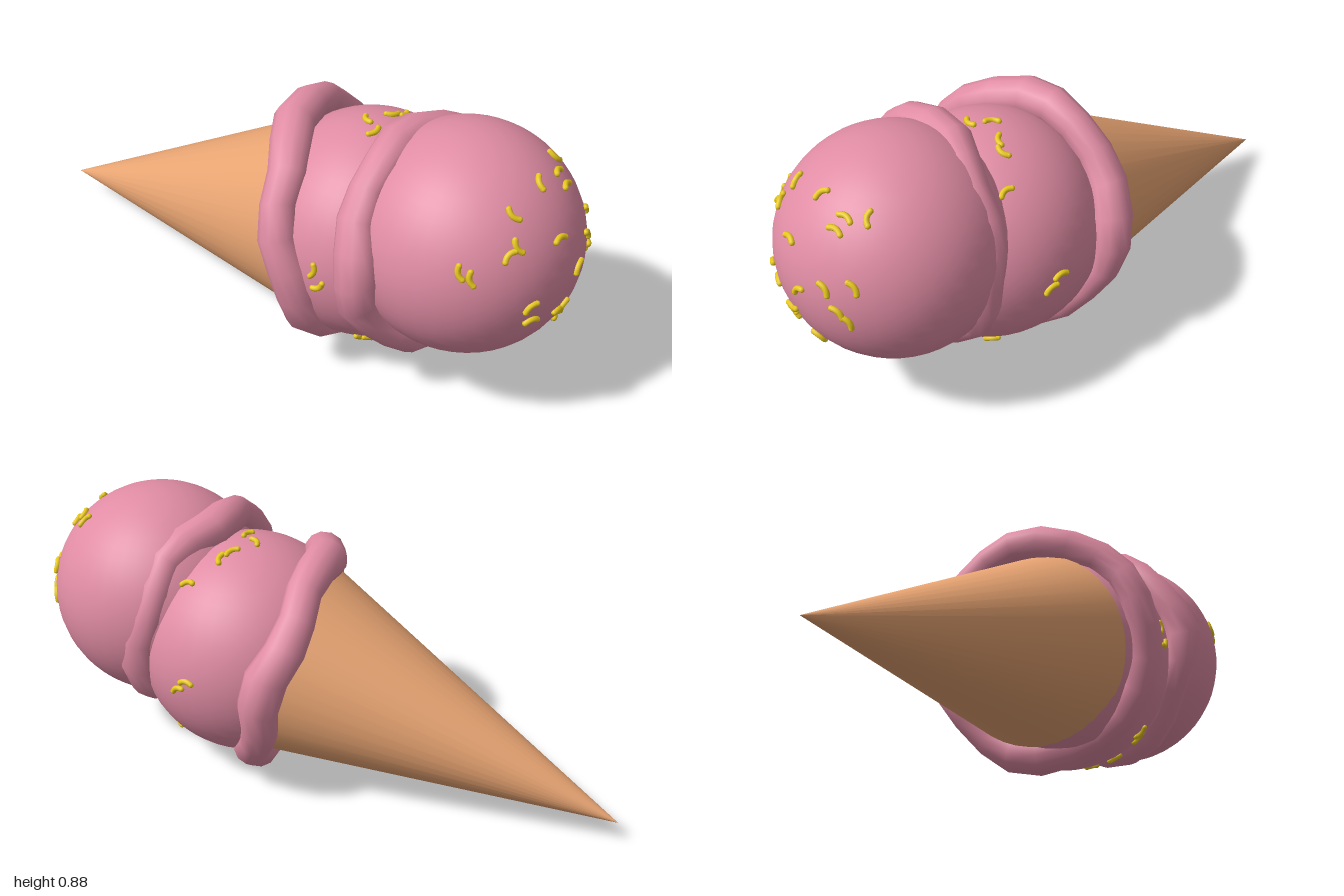
import * as THREE from 'three';
import { mergeGeometries, mergeVertices } from 'three/addons/utils/BufferGeometryUtils.js';

const pink = new THREE.MeshStandardMaterial({ color: 0xe08ca4 });
const waffle = new THREE.MeshStandardMaterial({ color: 0xe8a472 });
const yellow = new THREE.MeshStandardMaterial({ color: 0xe8c81e });
const V = (x, y, z) => new THREE.Vector3(x, y, z);

function addMesh(parent, name, geometry, material) {
  const mesh = new THREE.Mesh(geometry, material);
  mesh.name = name;
  parent.add(mesh);
  return mesh;
}

// Melted rim: a torus whose ring wavers along its axis and in thickness
function rimGeometry(major, tube, phase) {
  let g = new THREE.TorusGeometry(major, tube, 12, 22);
  g.deleteAttribute('uv');
  g.deleteAttribute('normal');
  g = mergeVertices(g, 1e-4);
  const p = g.attributes.position;
  for (let i = 0; i < p.count; i++) {
    const x = p.getX(i), y = p.getY(i), a = Math.atan2(y, x);
    const r = Math.hypot(x, y) - major;
    const fat = 1 + 0.1 * Math.sin(4 * a + phase);
    const ring = major + 0.008 * Math.sin(5 * a + phase * 2) + r * fat;
    const lift = 0.013 * Math.sin(6 * a + phase) + 0.008 * Math.cos(3 * a - phase);
    p.setXYZ(i, Math.cos(a) * ring, Math.sin(a) * ring, p.getZ(i) * fat * 1.05 + lift);
  }
  g.computeVertexNormals();
  return g;
}

// One short bent rod with rounded ends, lying in the XY plane
function sprinkleGeometry() {
  const r = 0.009, h = 0.021;
  const curve = new THREE.QuadraticBezierCurve3(V(-h, -0.004, 0), V(0, 0.012, 0), V(h, -0.004, 0));
  const parts = [new THREE.TubeGeometry(curve, 6, r, 8)];
  for (const s of [-1, 1]) parts.push(new THREE.SphereGeometry(r, 8, 6).translate(s * h, -0.004, 0));
  return mergeGeometries(parts);
}

// Lays a sprinkle on a scoop, turned by an angle from a reference direction
function addSprinkle(parent, geometry, scoop, point, reference, degrees) {
  const n = point.clone().sub(scoop.centre).normalize();
  const u = reference.clone().addScaledVector(n, -n.dot(reference)).normalize();
  const v = n.clone().cross(u);
  const mesh = addMesh(parent, 'sprinkle', geometry, yellow);
  mesh.quaternion.setFromRotationMatrix(new THREE.Matrix4().makeBasis(u, v, n));
  mesh.rotateZ(THREE.MathUtils.degToRad(degrees));
  mesh.position.copy(scoop.centre).addScaledVector(n, scoop.radius + 0.003);
}

export function createModel() {
  const group = new THREE.Group();

  // Cone, from its tip towards the scoops
  const tip = V(-0.015, 0.095, -1), axis = V(0.018, 0.258, 0.966).normalize();
  const length = 1.17;
  const cone = addMesh(group, 'cone', new THREE.ConeGeometry(length * 0.278, length, 40), waffle);
  cone.quaternion.setFromUnitVectors(V(0, -1, 0), axis);
  cone.position.copy(tip).addScaledVector(axis, length / 2);

  // Scoops
  const front = { name: 'topScoop', centre: V(0.01, 0.54, 0.635), radius: 0.357 };
  const back = { name: 'lowerScoop', centre: V(0.02, 0.425, 0.29), radius: 0.366 };
  for (const s of [front, back]) {
    addMesh(group, s.name, new THREE.SphereGeometry(s.radius, 40, 28), pink).position.copy(s.centre);
  }

  // Melted rims behind each scoop
  const rims = [
    ['lowerRim', V(0, 0.417, 0.145), V(0.26, 0.3, 1), 0.35, 0.06, 0.6],
    ['topRim', V(-0.015, 0.5, 0.5), V(-0.1, 0.21, 1), 0.318, 0.06, 2.1],
  ];
  for (const [name, centre, normal, major, tube, phase] of rims) {
    const rim = addMesh(group, name, rimGeometry(major, tube, phase), pink);
    rim.quaternion.setFromUnitVectors(V(0, 0, 1), normal.normalize());
    rim.position.copy(centre);
  }

  // Sprinkles on the top scoop: x, y, angle
  const sprinkles = new THREE.Group();
  sprinkles.name = 'sprinkles';
  group.add(sprinkles);
  const rod = sprinkleGeometry();
  const topSpots = [
    [-0.13, 0.785, 100], [0.005, 0.82, 60], [0.115, 0.8, 0], [0.165, 0.805, 120], [0.11, 0.77, 0],
    [-0.19, 0.697, 20], [-0.163, 0.715, 95], [-0.03, 0.693, -5], [-0.278, 0.64, 80], [-0.29, 0.655, 75],
    [0.135, 0.615, -45], [0.21, 0.64, -40], [0.175, 0.55, -40], [0.2, 0.52, -60], [0.04, 0.567, 40],
    [-0.155, 0.525, 35], [-0.14, 0.467, 5], [-0.03, 0.447, -15], [-0.01, 0.45, 60], [-0.022, 0.437, -25],
    [0.035, 0.355, -50],
  ];
  for (const [x, y, angle] of topSpots) {
    const dx = x - front.centre.x, dy = y - front.centre.y;
    const dz = Math.sqrt(Math.max(0, front.radius ** 2 - dx * dx - dy * dy));
    addSprinkle(sprinkles, rod, front, V(x, y, front.centre.z + dz), V(1, 0, 0), angle);
  }

  // Sprinkles on the lower scoop: x, y, z, angle
  const lowerSpots = [
    [0.02, 0.79, 0.26, -35], [-0.02, 0.79, 0.315, 80], [0.1, 0.78, 0.3, 60], [0.14, 0.77, 0.32, 100],
    [-0.24, 0.67, 0.39, 45], [-0.225, 0.68, 0.4, 90], [0.23, 0.71, 0.385, 10],
    [0.385, 0.45, 0.31, 5], [0.38, 0.415, 0.345, 30], [-0.345, 0.42, 0.35, 40], [-0.34, 0.47, 0.33, 80],
    [0.22, 0.165, 0.45, 50], [0.03, 0.115, 0.48, 90], [-0.07, 0.107, 0.47, 45],
    [-0.205, 0.16, 0.41, 80], [-0.18, 0.158, 0.43, 100],
  ];
  for (const [x, y, z, angle] of lowerSpots) {
    addSprinkle(sprinkles, rod, back, V(x, y, z), V(0, 0, -1), angle);
  }
  return group;
}
